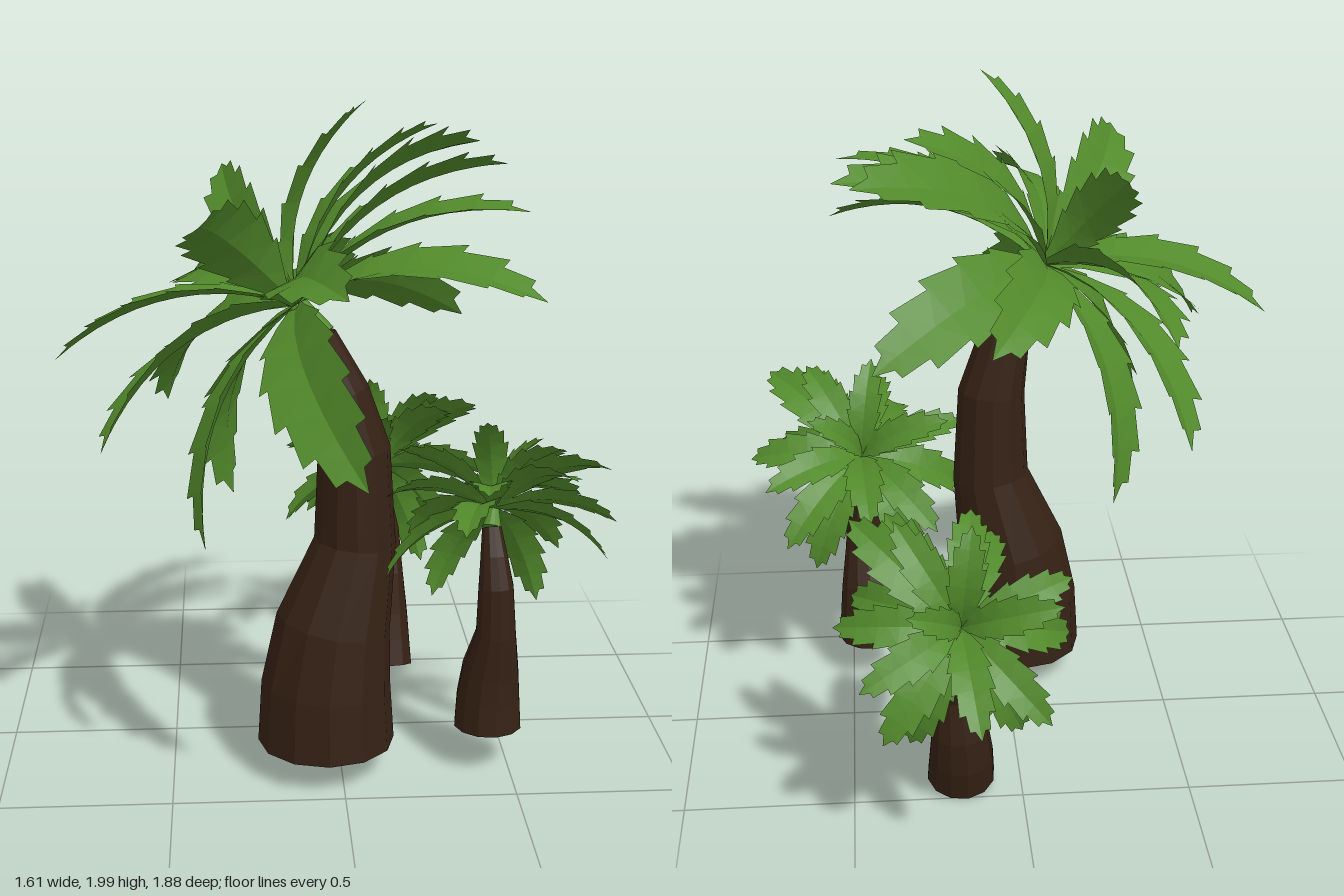
import * as THREE from 'three';

const bark = new THREE.MeshStandardMaterial({ color: 0x352114, flatShading: true });
const green = new THREE.MeshStandardMaterial({ color: 0x528a2b, flatShading: true, side: THREE.DoubleSide });
const SIDES = 12;

function build(points, index) {
  const g = new THREE.BufferGeometry();
  g.setAttribute('position', new THREE.Float32BufferAttribute(points.flatMap(p => p.toArray()), 3));
  g.setIndex(index);
  g.computeVertexNormals();
  return g;
}

// Bent trunk: rings of [x, y, z, radius], each square to the path, capped at both ends
function trunkGeometry(rings) {
  const centres = rings.map(([x, y, z]) => new THREE.Vector3(x, y, z));
  const points = [], index = [], last = rings.length - 1;
  centres.forEach((c, i) => {
    const dir = centres[Math.min(i + 1, last)].clone().sub(centres[Math.max(i - 1, 0)]).normalize();
    const turn = new THREE.Quaternion().setFromUnitVectors(new THREE.Vector3(0, 1, 0), dir);
    for (let s = 0; s < SIDES; s++) {
      const a = (s / SIDES) * Math.PI * 2, r = rings[i][3];
      points.push(new THREE.Vector3(Math.sin(a) * r, 0, Math.cos(a) * r).applyQuaternion(turn).add(c));
      if (i === last) continue;
      const p = i * SIDES + s, q = i * SIDES + (s + 1) % SIDES;
      index.push(p, q, q + SIDES, p, q + SIDES, p + SIDES);
    }
  });
  const bottom = points.push(centres[0]) - 1, top = points.push(centres[last]) - 1;
  for (let s = 0; s < SIDES; s++) {
    const n = (s + 1) % SIDES;
    index.push(bottom, n, s, top, last * SIDES + s, last * SIDES + n);
  }
  return build(points, index);
}

// Frond outline: [place on the rib, place of the edge, half width], with teeth pointing to the tip
const OUTLINE = [
  [0, 0, 0.12], [0.1, 0.14, 0.4], [0.22, 0.3, 0.82], [0.28, 0.3, 0.68],
  [0.38, 0.48, 1.0], [0.46, 0.47, 0.8], [0.55, 0.66, 0.98], [0.63, 0.64, 0.72],
  [0.71, 0.82, 0.8], [0.8, 0.8, 0.52], [0.88, 0.93, 0.46], [0.93, 0.91, 0.28], [1, 1, 0.01],
];

// The crown leans with the trunk top, and every frond turns its upper face along this axis
const AXIS = new THREE.Vector3(-0.65, 0.75, -0.15).normalize();

// Arching frond with its halves raised from the midrib like a shallow trough
function frondGeometry(base, tip) {
  const length = base.distanceTo(tip);
  const dir = tip.clone().sub(base).normalize();
  const side = dir.clone().cross(AXIS).normalize();
  const bow = side.clone().cross(dir);
  const control = base.clone().lerp(tip, 0.5).addScaledVector(bow, length * 0.27);
  const rib = new THREE.QuadraticBezierCurve3(base, control, tip);
  const points = [], index = [];
  OUTLINE.forEach(([t, edge, w], i) => {
    const half = w * length * 0.175;
    const up = side.clone().cross(rib.getTangent(edge)).normalize();
    const at = rib.getPoint(edge).addScaledVector(up, half * 0.25);
    points.push(rib.getPoint(t), at.clone().addScaledVector(side, -half), at.clone().addScaledVector(side, half));
    if (i === OUTLINE.length - 1) return;
    const k = i * 3;
    index.push(k, k + 3, k + 1, k + 1, k + 3, k + 4, k, k + 2, k + 3, k + 2, k + 5, k + 3);
  });
  return build(points, index);
}

const TRUNK = [
  [0, 0, 0, 0.203], [0, 0.18, 0, 0.192], [0.022, 0.37, -0.005, 0.17], [0.086, 0.62, -0.015, 0.12],
  [0.082, 0.9, -0.01, 0.105], [0.042, 1.07, -0.005, 0.082], [-0.025, 1.23, -0.005, 0.058],
];
const CROWN = [-0.08, 1.32, -0.03];
const TIPS = [
  // raised fronds
  [0.105, 1.9, 0.07], [0.345, 1.79, -0.32], [0.5, 1.71, -0.54], [0.555, 1.67, -0.33],
  [0.545, 1.61, 0.17], [-0.345, 1.63, 0.48], [-0.285, 1.67, -0.38],
  // spreading fronds
  [-0.765, 1.16, -0.07], [-0.395, 1.27, -0.66], [0.125, 1.27, -0.71], [0.575, 1.39, 0.3],
  [0.025, 1.47, 0.63], [0.455, 1.17, -0.55],
  // hanging fronds
  [-0.615, 1.01, 0.36], [0.075, 0.98, 0.65], [-0.345, 0.7, 0.27], [-0.265, 0.66, -0.36], [-0.465, 0.91, -0.55],
];

// One palm standing on its own origin
function createPalm() {
  const palm = new THREE.Group();
  const add = (name, geometry, material) => {
    const mesh = new THREE.Mesh(geometry, material);
    mesh.name = name;
    palm.add(mesh);
  };
  const base = new THREE.Vector3(...CROWN);
  add('trunk', trunkGeometry(TRUNK), bark);
  add('crownHeart', trunkGeometry([[-0.025, 1.23, -0.005, 0.057], [...CROWN, 0.032]]), green);
  TIPS.forEach((tip, i) => add('frond' + (i + 1), frondGeometry(base, new THREE.Vector3(...tip)), green));
  return palm;
}

export function createModel() {
  const model = new THREE.Group();
  model.name = 'palmTrees';
  const palm = createPalm();

  // The same palm three times: name, size, position, rotation
  [
    ['largePalm', 1, [-0.045, 0.1, 0.28], [0, 0, 0]],
    ['leftPalm', 0.503, [0.44, 0.135, 0.285], [0, -1.45, 0]],
    ['backPalm', 0.503, [0.18, 0.037, -0.41], [-0.27, -1.4, 0.02]],
  ].forEach(([name, size, position, rotation]) => {
    const copy = palm.clone();
    copy.name = name;
    copy.scale.setScalar(size);
    copy.position.set(...position);
    copy.rotation.set(...rotation);
    model.add(copy);
  });
  return model;
}
